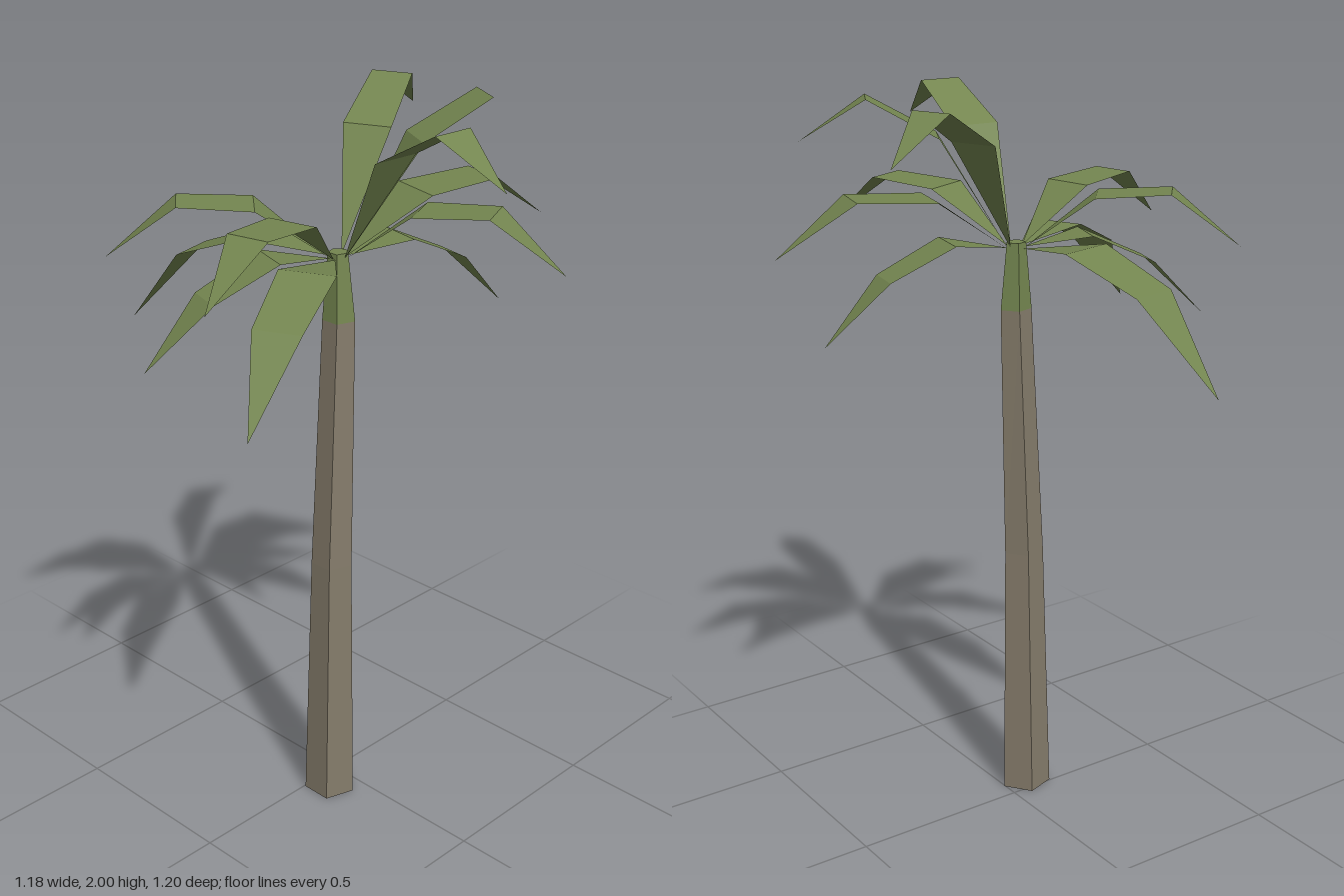
import * as THREE from 'three';

const leafMat = new THREE.MeshStandardMaterial({ name: 'leafGreen', color: 0x748650, flatShading: true, side: THREE.DoubleSide });
const barkMat = new THREE.MeshStandardMaterial({ name: 'barkBrown', color: 0x857c6b, flatShading: true });

const CROWN = { x: -0.033, y: 1.605, z: 0.042 };

// Five-sided stem through rings of [x, y, z, radius], one corner towards +x
function stem(name, rings, material) {
  const n = rings.length - 1;
  const geo = new THREE.CylinderGeometry(1, 1, 1, 5, n, false, Math.PI / 2).toNonIndexed();
  const p = geo.attributes.position;
  for (let i = 0; i < p.count; i++) {
    const [x, y, z, r] = rings[Math.round((p.getY(i) + 0.5) * n)];
    p.setXYZ(i, x + p.getX(i) * r, y, z + p.getZ(i) * r);
  }
  geo.computeVertexNormals();
  const mesh = new THREE.Mesh(geo, material);
  mesh.name = name;
  return mesh;
}

// Folded leaf: pointed root, two cross folds, pointed tip
function frond(name, [tx, ty, tz], [y1, y2]) {
  const dx = tx - CROWN.x, dz = tz - CROWN.z;
  const at = (t, y, w) => [CROWN.x + dx * t + dz * w, y, CROWN.z + dz * t - dx * w];
  const corners = [
    at(0.04, CROWN.y, 0),
    at(0.36, y1, 0.125), at(0.36, y1, -0.125),
    at(0.69, y2, 0.106), at(0.69, y2, -0.106),
    [tx, ty, tz],
  ];
  const geo = new THREE.BufferGeometry();
  geo.setAttribute('position', new THREE.Float32BufferAttribute(corners.flat(), 3));
  geo.setIndex([0, 2, 1, 1, 2, 4, 1, 4, 3, 3, 4, 5]);
  const flat = geo.toNonIndexed();
  flat.computeVertexNormals();
  const mesh = new THREE.Mesh(flat, leafMat);
  mesh.name = name;
  return mesh;
}

export function createModel() {
  const model = new THREE.Group();
  model.name = 'palmTree';

  // Leaning trunk with a green crown shaft
  const neck = [-0.034, 1.44, 0.047, 0.045];
  model.add(stem('trunk', [[-0.07, 0, 0.047, 0.073], [-0.06, 0.74, 0.047, 0.058], neck], barkMat));
  model.add(stem('crownShaft', [neck, [-0.033, 1.62, 0.042, 0.028]], leafMat));

  // Frond tiers: heights of the two folds, then the tip of each frond
  const tiers = [
    { name: 'lowFrond', folds: [1.635, 1.553],
      tips: [[-0.19, 1.32, -0.6], [-0.59, 1.347, 0.293], [-0.544, 1.385, -0.129], [0.485, 1.385, 0.156]] },
    { name: 'middleFrond', folds: [1.75, 1.762],
      tips: [[-0.474, 1.62, -0.346], [-0.585, 1.62, 0.152], [0.215, 1.62, 0.576], [0.588, 1.62, 0.204]] },
    { name: 'highFrond', folds: [1.9, 2],
      tips: [[0.461, 1.885, -0.155], [0.452, 1.89, 0.311], [-0.059, 1.89, 0.598]] },
  ];
  const fronds = new THREE.Group();
  fronds.name = 'fronds';
  for (const { name, folds, tips } of tiers) {
    tips.forEach((tip, i) => fronds.add(frond(name + (i + 1), tip, folds)));
  }
  model.add(fronds);
  return model;
}
